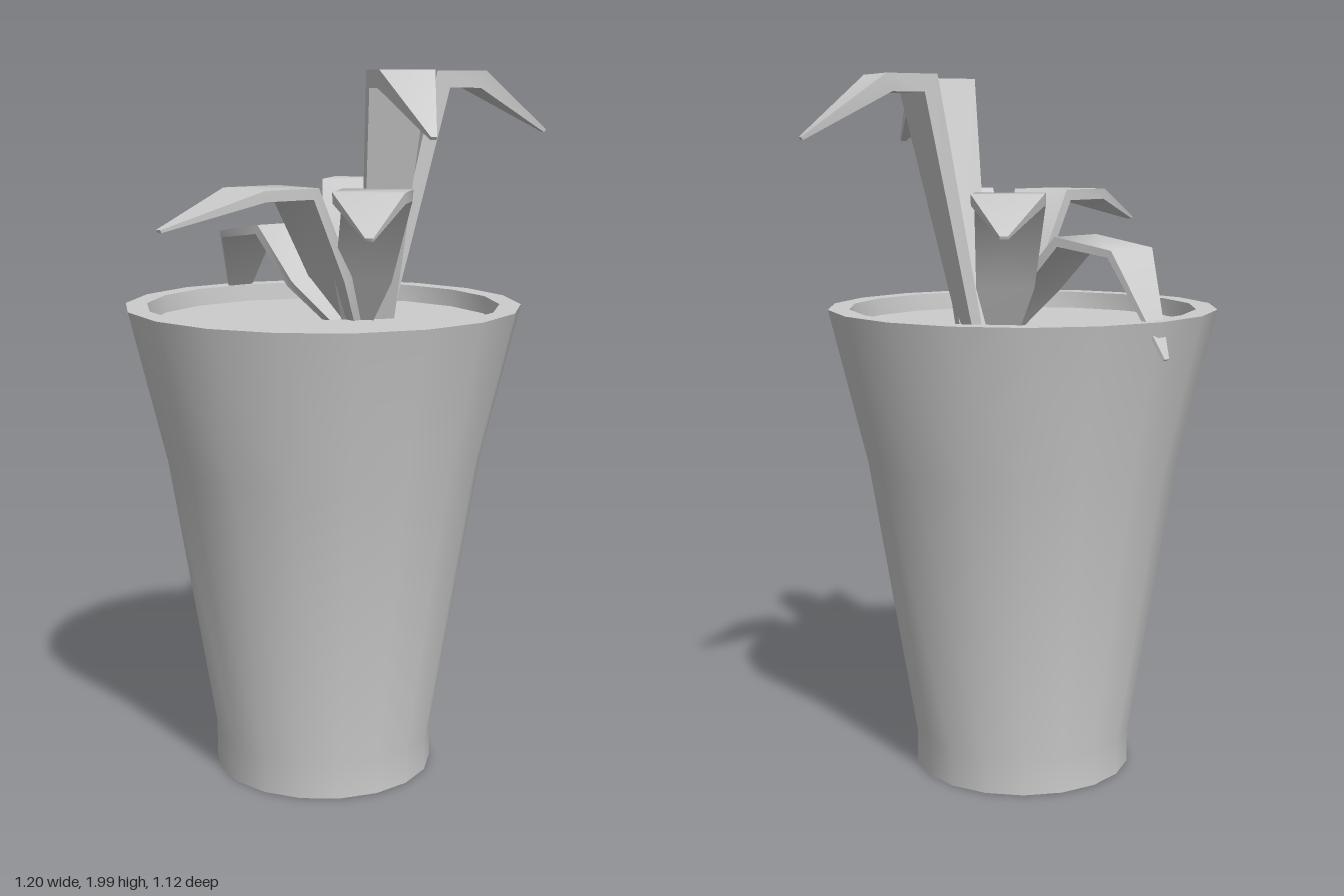
import * as THREE from 'three';
import { toCreasedNormals } from 'three/addons/utils/BufferGeometryUtils.js';

const V = (x, y, z) => new THREE.Vector3(x, y, z);

// Bent strip with a rectangular section; stations are [x, y, z, halfWidth, thickness]
function leafGeometry(stations) {
  const centres = stations.map(([x, y, z]) => V(x, y, z));
  const last = centres.length - 1;
  const dir = centres[last - 1].clone().sub(centres[last - 2]).setY(0).normalize();
  const side = V(-dir.z, 0, dir.x);
  const pos = [], idx = [];
  stations.forEach(([, , , half, thick], i) => {
    const along = (a, b) => centres[b].clone().sub(centres[a]).normalize();
    const t = V(0, 0, 0);
    if (i > 0) t.add(along(i - 1, i));
    if (i < last) t.add(along(i, i + 1));
    const n = side.clone().cross(t).normalize();
    for (const [s, d] of [[-1, 0], [1, 0], [1, 1], [-1, 1]]) {
      const p = centres[i].clone().addScaledVector(side, s * half).addScaledVector(n, -d * thick);
      pos.push(p.x, p.y, p.z);
    }
  });
  for (let i = 0; i < last; i++) {
    for (let k = 0; k < 4; k++) {
      const a = i * 4 + k, b = i * 4 + (k + 1) % 4;
      idx.push(a, b, b + 4, a, b + 4, a + 4);
    }
  }
  const e = last * 4;
  idx.push(0, 2, 1, 0, 3, 2, e, e + 1, e + 2, e, e + 2, e + 3);
  const geo = new THREE.BufferGeometry();
  geo.setAttribute('position', new THREE.Float32BufferAttribute(pos, 3));
  geo.setIndex(idx);
  return toCreasedNormals(geo, 1.2);
}

export function createModel() {
  const model = new THREE.Group();
  model.name = 'pottedPlant';
  const grey = new THREE.MeshStandardMaterial({ color: 0xcccccc });
  grey.name = 'lightGrey';

  const add = (name, geo, x = 0, y = 0, z = 0) => {
    const mesh = new THREE.Mesh(geo, grey);
    mesh.name = name;
    mesh.position.set(x, y, z);
    model.add(mesh);
  };

  // Flared pot with a flat rim and short inner wall
  const profile = [[0, 0], [0.315, 0], [0.315, 0.1], [0.448, 0.91], [0.555, 1.35], [0.495, 1.35], [0.49, 1.28]]
    .map(([r, y]) => new THREE.Vector2(r, y));
  const pot = new THREE.LatheGeometry(profile, 18, Math.PI / 2);
  add('pot', toCreasedNormals(pot, 0.6), -0.045, 0, 0.015);

  // Soil surface
  add('soil', new THREE.CircleGeometry(0.492, 18).rotateX(-Math.PI / 2), -0.045, 1.3, 0.015);

  // Tall leaves: upright stem, flat bend, drooping tip
  const tall = [
    [[0.13, 0.04], [0.265, 0.1], [0.4, 0.155], [0.595, 0.24]],
    [[0.12, 0.05], [0.05, 0.205], [-0.01, 0.325], [-0.1, 0.53]],
  ];
  for (const [r, a, b, t] of tall) {
    add('tallLeaf', leafGeometry([
      [r[0], 1.29, r[1], 0.045, 0.03],
      [a[0], 1.99, a[1], 0.078, 0.06],
      [b[0], 1.99, b[1], 0.075, 0.05],
      [t[0], 1.825, t[1], 0.008, 0.01],
    ]));
  }

  // Low leaves: broad, leaning outwards
  const low = [
    [[0.07, -0.01], [0.19, -0.135], [0.31, -0.225], [0.535, -0.4]],
    [[0.07, 0.03], [-0.03, 0.235], [-0.152, 0.34], [-0.325, 0.55]],
    [[0.06, 0.02], [-0.14, 0.025], [-0.32, 0.025], [-0.597, 0.035]],
  ];
  for (const [r, a, b, t] of low) {
    const mid = (k) => r[k] + (a[k] - r[k]) * 0.35;
    add('lowLeaf', leafGeometry([
      [r[0], 1.29, r[1], 0.04, 0.025],
      [mid(0), 1.43, mid(1), 0.08, 0.03],
      [a[0], 1.68, a[1], 0.095, 0.035],
      [b[0], 1.68, b[1], 0.095, 0.03],
      [t[0], 1.588, t[1], 0.01, 0.008],
    ]));
  }

  // Back leaf, hanging over and through the rim
  add('backLeaf', leafGeometry([
    [0.03, 1.29, 0.02, 0.04, 0.02],
    [-0.015, 1.41, -0.05, 0.09, 0.025],
    [-0.025, 1.56, -0.19, 0.095, 0.028],
    [-0.025, 1.53, -0.38, 0.095, 0.022],
    [0.058, 1.255, -0.555, 0.01, 0.008],
  ]));

  return model;
}
